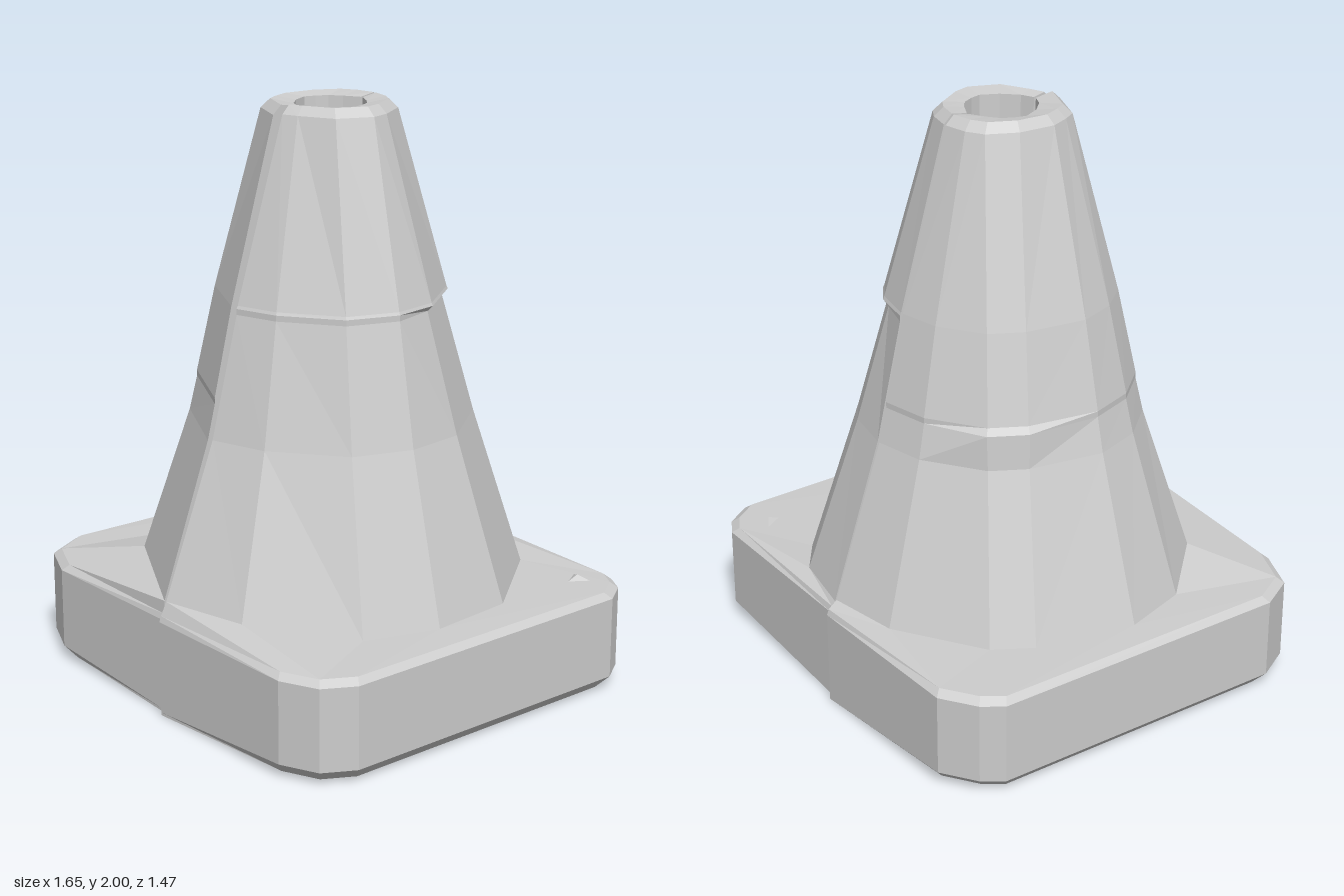
import * as THREE from 'three';

const GAP = 0.005; // half the slit between the two halves

// Lofts open rings (back -> side -> front) into a solid half with a flat cut face.
function halfLoft(name, side, rings, material) {
  const pos = [];
  const tri = (a, b, c) => {
    for (const p of side > 0 ? [a, b, c] : [a, c, b]) {
      pos.push(side * Math.max(GAP, p[0]), p[1], p[2]);
    }
  };
  for (let i = 0; i < rings.length - 1; i++) {
    const lo = rings[i], hi = rings[i + 1];
    for (let j = 0; j < lo.length - 1; j++) {
      tri(lo[j], hi[j], hi[j + 1]);
      tri(lo[j], hi[j + 1], lo[j + 1]);
    }
  }
  // End caps
  const first = rings[0], last = rings[rings.length - 1], n = first.length;
  for (let j = 1; j < n - 1; j++) {
    tri(first[0], first[j], first[j + 1]);
    tri(last[0], last[j + 1], last[j]);
  }
  // Cut face on the centre plane
  const outline = [...rings.map(r => r[0]), ...rings.map(r => r[n - 1]).reverse()];
  const flat = outline.map(p => new THREE.Vector2(p[2], p[1]));
  for (const face of THREE.ShapeUtils.triangulateShape(flat.slice(), [])) {
    const area = THREE.ShapeUtils.area(face.map(k => flat[k]));
    const [a, b, c] = face.map(k => [0, outline[k][1], outline[k][2]]);
    if (area > 0) tri(a, b, c); else tri(a, c, b);
  }
  const geometry = new THREE.BufferGeometry();
  geometry.setAttribute('position', new THREE.Float32BufferAttribute(pos, 3));
  geometry.computeVertexNormals();
  const mesh = new THREE.Mesh(geometry, material);
  mesh.name = name;
  return mesh;
}

// Plan outlines as [distance from centre plane, z], eight points each
const HALVES = [
  {
    label: 'right', side: 1,
    slab: [[0, -0.72], [0.68, -0.71], [0.75, -0.67], [0.81, -0.58], [0.82, 0.55], [0.76, 0.66], [0.63, 0.72], [0, 0.73]],
    foot: [[0, -0.70], [0.25, -0.65], [0.39, -0.55], [0.65, -0.22], [0.68, 0.09], [0.60, 0.35], [0.30, 0.61], [0, 0.70]],
    rim: [[0, -0.23], [0.09, -0.21], [0.14, -0.18], [0.21, -0.07], [0.23, 0], [0.18, 0.12], [0.06, 0.18], [0, 0.20]],
    footY: [0.37, 0.37, 0.36, 0.36, 0.36, 0.36, 0.39, 0.40],
    ledge: { y: 1.34, scale: 0.95, points: [1, 2, 3] },
  },
  {
    label: 'left', side: -1,
    slab: [[0, -0.74], [0.64, -0.73], [0.76, -0.65], [0.81, -0.58], [0.83, 0.52], [0.76, 0.65], [0.60, 0.72], [0, 0.71]],
    foot: [[0, -0.70], [0.25, -0.65], [0.54, -0.45], [0.62, -0.32], [0.70, 0.03], [0.63, 0.27], [0.45, 0.47], [0, 0.70]],
    rim: [[0, -0.23], [0.09, -0.215], [0.15, -0.18], [0.20, -0.08], [0.21, 0.05], [0.18, 0.12], [0.15, 0.17], [0, 0.23]],
    footY: [0.38, 0.37, 0.36, 0.36, 0.36, 0.36, 0.41, 0.40],
    ledge: { y: 1.05, scale: 1.05, points: [2, 3] },
  },
];
const HOLE = [[0, -0.14], [0.06, -0.11], [0.10, -0.08], [0.12, -0.04], [0.13, 0], [0.10, 0.06], [0.05, 0.11], [0, 0.13]];

export function createModel() {
  const group = new THREE.Group();
  group.name = 'trafficCone';
  const grey = new THREE.MeshStandardMaterial({ color: 0xcccccc });
  grey.name = 'light grey';

  for (const { label, side, slab, foot, rim, footY, ledge } of HALVES) {
    const at = (outline, y, s = 1) => outline.map(([x, z]) => [x * s, y, z * s]);
    const footRing = foot.map(([x, z], j) => [x, footY[j], z]);

    // Square foot with chamfered corners and a slightly sloping top
    const middle = j => j === 0 || j === 7;
    const bottom = slab.map(([x, z], j) => middle(j) ? [x, 0, z] : [x * 0.95, 0.005, z * 0.95]);
    const lower = slab.map(([x, z], j) => [x, middle(j) ? 0.01 : 0.05, z]);
    const upper = at(slab, 0.335);
    const edge = slab.map(([x, z], j) => [x * 0.97, 0.355, z * (middle(j) ? 0.99 : 0.97)]);
    group.add(halfLoft(label + 'Base', side, [bottom, lower, upper, edge, footRing], grey));

    // Tapering body with a small ledge at the back, rim and central hole
    const section = (y, t, s = 1) => foot.map(([x, z], j) => {
      const k = ledge.points.includes(j) ? s : 1;
      return [THREE.MathUtils.lerp(x, rim[j][0], t) * k, y, THREE.MathUtils.lerp(z, rim[j][1], t) * k];
    });
    const taper = y => y < 0.92 ? (y - 0.36) / 0.56 * 0.4 : 0.4 + (y - 0.92) / 0.44 * 0.22;
    const rings = [
      footRing,
      section(0.92, 0.4),
      section(ledge.y - 0.01, taper(ledge.y), ledge.scale),
      section(ledge.y + 0.01, taper(ledge.y)),
      section(1.36, 0.62),
      section(1.97, 1),
      at(rim, 2, 0.86),
      at(HOLE, 1.99),
      at(HOLE, 1.7, 0.95),
    ];
    group.add(halfLoft(label + 'Body', side, rings, grey));
  }

  // Small raised nick on the back corner of the base
  const nick = new THREE.Mesh(new THREE.ConeGeometry(0.07, 0.025, 3).toNonIndexed(), grey);
  nick.geometry.computeVertexNormals();
  nick.name = 'cornerNick';
  nick.position.set(0.64, 0.36, -0.58);
  group.add(nick);

  return group;
}
